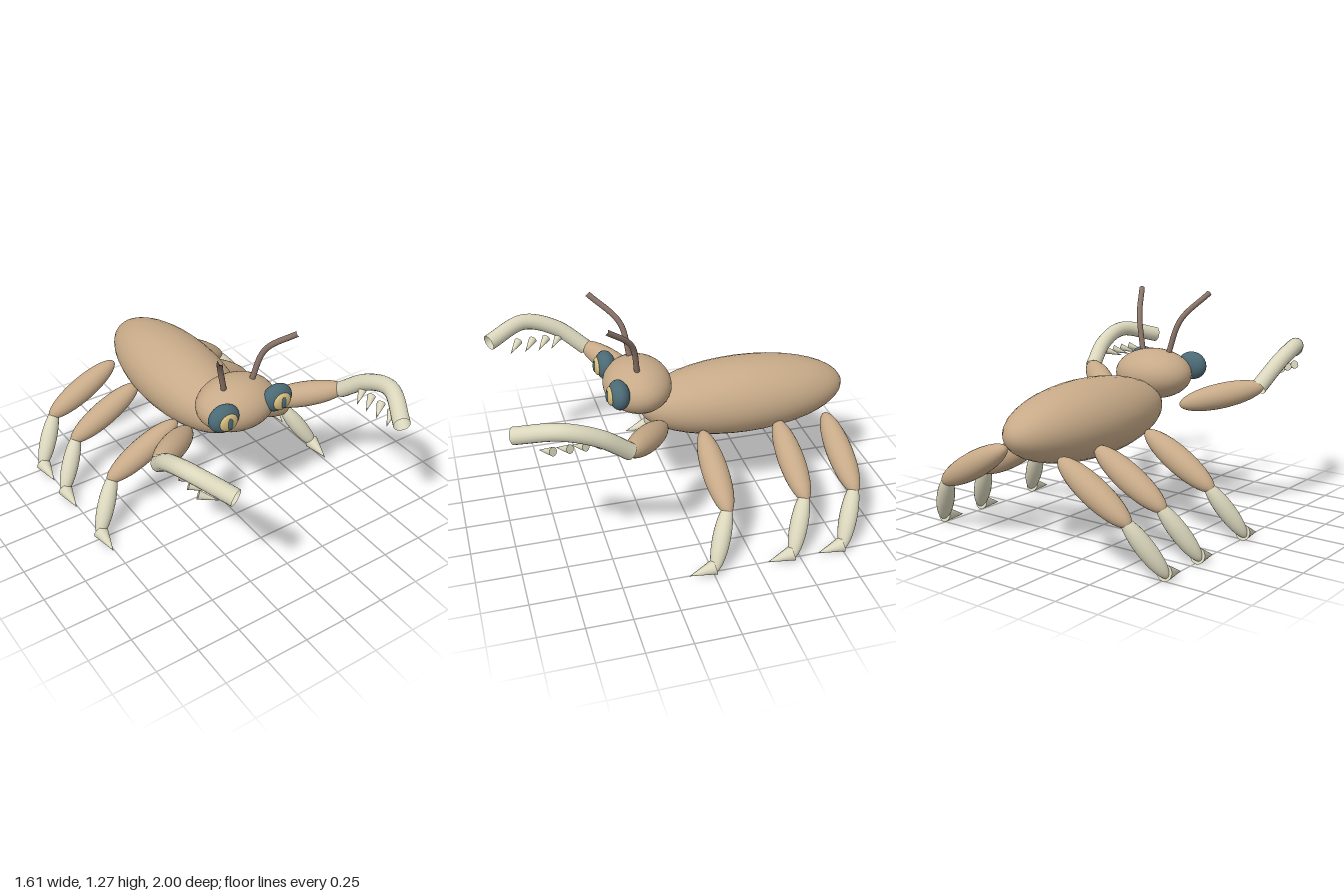
import * as THREE from 'three';

const material = (name, color, side = THREE.FrontSide) => {
  const m = new THREE.MeshStandardMaterial({ color, side });
  m.name = name;
  return m;
};

export function createModel() {
  const tan = material('tan shell', 0xc7aa88);
  const cream = material('cream limb', 0xdbd7bd, THREE.DoubleSide);
  const brown = material('antenna brown', 0x8a7468);
  const slate = material('eye slate', 0x4b6a76);
  const gold = material('iris gold', 0xd6bd7c);

  const model = new THREE.Group();
  model.name = 'insect';
  const vec = (p) => new THREE.Vector3(...p);

  function add(parent, name, geometry, mat) {
    const mesh = new THREE.Mesh(geometry, mat);
    mesh.name = name;
    parent.add(mesh);
    return mesh;
  }

  // Ellipsoid placed by centre and radii
  function ellipsoid(parent, name, center, radii, mat) {
    const g = new THREE.SphereGeometry(1, 32, 20).rotateX(Math.PI / 2);
    add(parent, name, g.scale(...radii).translate(...center), mat);
  }

  // Lays a geometry that runs along y between two points
  function between(parent, name, geometry, a, b, mat) {
    const from = vec(a), to = vec(b);
    const mesh = add(parent, name, geometry, mat);
    mesh.position.copy(from).add(to).multiplyScalar(0.5);
    mesh.quaternion.setFromUnitVectors(new THREE.Vector3(0, 1, 0), to.sub(from).normalize());
  }
  const length = (a, b) => vec(a).distanceTo(vec(b));

  function spindle(parent, name, a, b, r, mat) {
    const g = new THREE.SphereGeometry(1, 24, 16).scale(r, length(a, b) / 2, r);
    between(parent, name, g, a, b, mat);
  }

  function cone(parent, name, base, tip, r, mat) {
    between(parent, name, new THREE.ConeGeometry(r, length(base, tip), 16), base, tip, mat);
  }

  // Curved limb through a few points
  function tube(parent, name, points, r, mat) {
    const curve = new THREE.CatmullRomCurve3(points.map(vec));
    add(parent, name, new THREE.TubeGeometry(curve, 28, r, 16), mat);
  }

  ellipsoid(model, 'body', [0, 0.645, -0.39], [0.25, 0.215, 0.61], tan);
  ellipsoid(model, 'head', [0, 0.802, 0.227], [0.235, 0.145, 0.19], tan);

  for (const s of [1, -1]) {
    const side = new THREE.Group();
    side.name = s > 0 ? 'leftSide' : 'rightSide';
    model.add(side);
    const at = (x, y, z) => [s * x, y, z];

    // Eye
    ellipsoid(side, 'eye', at(0.174, 0.845, 0.368), [0.092, 0.081, 0.058], slate);
    ellipsoid(side, 'iris', at(0.174, 0.845, 0.416), [0.056, 0.051, 0.02], gold);
    ellipsoid(side, 'pupil', at(0.174, 0.845, 0.432), [0.017, 0.035, 0.009], slate);

    // Antenna
    tube(side, 'antenna',
      [at(0.09, 0.92, 0.245), at(0.145, 1.115, 0.285), at(0.24, 1.265, 0.44)], 0.016, brown);

    // Raised grasping arm with a row of spines
    spindle(side, 'armUpper', at(0.245, 0.657, 0.135), at(0.625, 0.765, 0.42), 0.072, tan);
    tube(side, 'armFore', [at(0.597, 0.755, 0.405), at(0.635, 0.885, 0.57),
      at(0.63, 0.95, 0.76), at(0.518, 0.898, 0.98)], 0.046, cream);
    for (const z of [0.56, 0.635, 0.715, 0.8]) {
      cone(side, 'armSpine', at(0.615, 0.835, z), at(0.53, 0.802, z + 0.06), 0.024, cream);
    }

    // Three walking legs
    for (const z of [0, -0.445, -0.738]) {
      const leg = new THREE.Group();
      leg.name = 'walkingLeg';
      leg.position.z = z;
      side.add(leg);
      spindle(leg, 'thigh', at(0.18, 0.543, -0.1), at(0.64, 0.285, -0.12), 0.074, tan);
      spindle(leg, 'shin', at(0.593, 0.325, -0.13), at(0.778, 0.02, 0.0), 0.05, cream);
      cone(leg, 'foot', at(0.76, 0.046, -0.008), at(0.76, 0.01, 0.135), 0.044, cream);
    }
  }
  return model;
}
